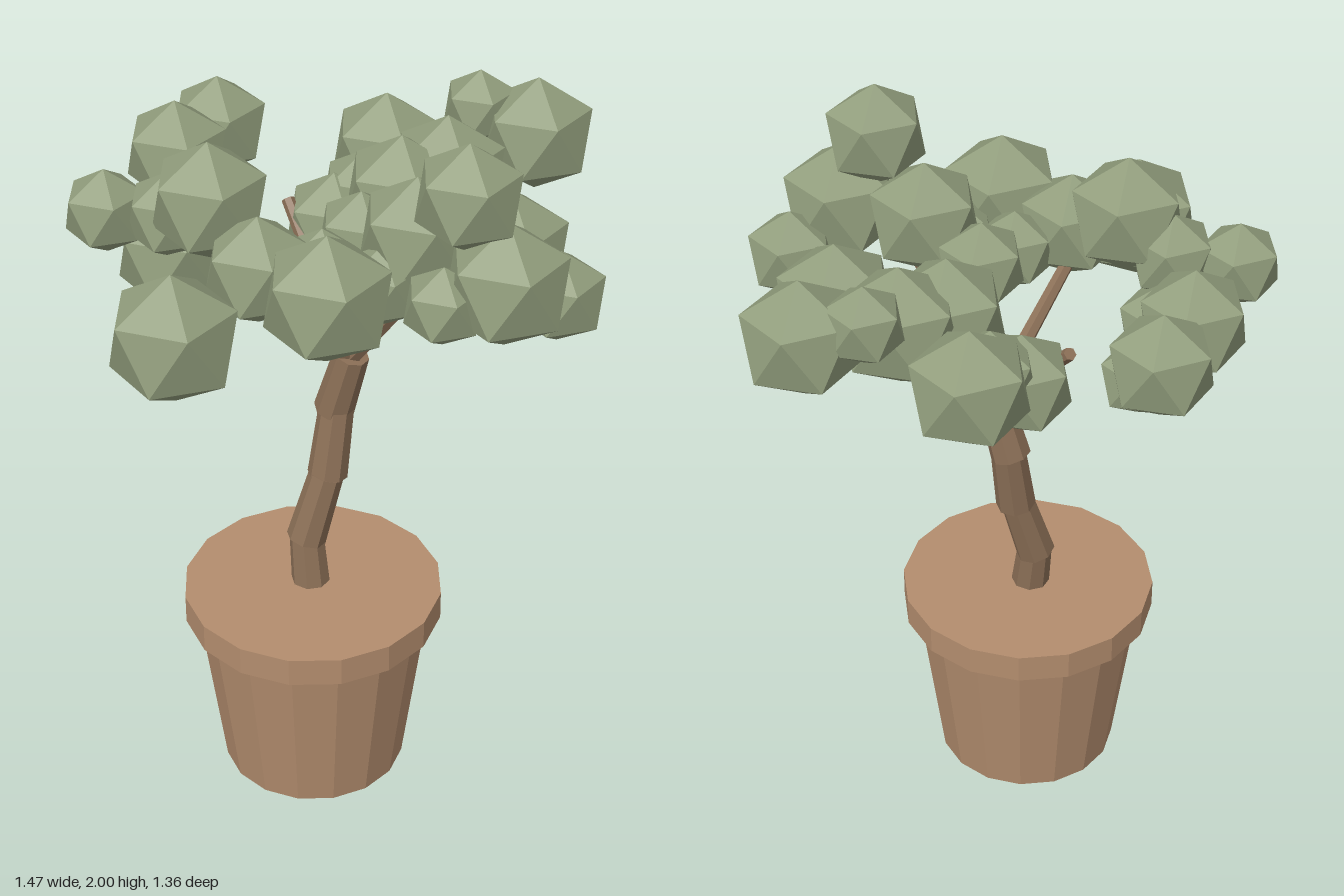
import * as THREE from 'three';

const mat = (name, color) => {
  const m = new THREE.MeshStandardMaterial({ color, flatShading: true });
  m.name = name;
  return m;
};

export function createModel() {
  const model = new THREE.Group();
  model.name = 'pottedTree';
  const clay = mat('clay', 0xb38d6e);
  const bark = mat('bark', 0x8c7057);
  const leaf = mat('leaf', 0x919d7c);

  const add = (name, geometry, material, parent = model) => {
    const mesh = new THREE.Mesh(geometry, material);
    mesh.name = name;
    parent.add(mesh);
    return mesh;
  };
  const group = (name) => {
    const g = new THREE.Group();
    g.name = name;
    model.add(g);
    return g;
  };
  // Tapered cylinder running from point a to point b
  const limb = (name, a, b, rBottom, rTop, sides, parent) => {
    const from = new THREE.Vector3(...a), to = new THREE.Vector3(...b);
    const dir = to.clone().sub(from);
    const mesh = add(name, new THREE.CylinderGeometry(rTop, rBottom, dir.length(), sides), bark, parent);
    mesh.position.copy(from).add(to).multiplyScalar(0.5);
    mesh.quaternion.setFromUnitVectors(new THREE.Vector3(0, 1, 0), dir.normalize());
  };

  // Pot: tapered body and a wide, closed rim
  const pot = group('pot');
  pot.position.set(-0.135, 0, 0.05);
  add('potBody', new THREE.CylinderGeometry(0.315, 0.25, 0.5, 16), clay, pot).position.y = 0.25;
  add('potRim', new THREE.CylinderGeometry(0.35, 0.35, 0.08, 16), clay, pot).position.y = 0.53;

  // Trunk: a crooked stack of tapered segments
  const trunk = group('trunk');
  const segments = [
    [[-0.135, 0.52, 0.045], [-0.132, 0.7, 0.018]],
    [[-0.132, 0.69, 0.015], [-0.075, 0.885, 0.03]],
    [[-0.068, 0.88, 0.025], [-0.033, 1.08, 0.018]],
    [[-0.035, 1.065, 0.008], [-0.012, 1.25, 0.056]],
  ];
  segments.forEach(([a, b]) => limb('trunkSegment', a, b, 0.054, 0.047, 8, trunk));

  // Branches fan out from the top of the trunk
  const branches = group('branches');
  const tips = [[-0.32, 1.62, 0.05], [0.28, 1.6, 0.14], [0.03, 1.56, 0.3], [0.015, 1.55, -0.27]];
  tips.forEach((tip) => limb('branch', [-0.012, 1.235, 0.05], tip, 0.024, 0.017, 6, branches));

  // Foliage: faceted clumps, each standing on a corner [x, y, z, radius]
  const foliage = group('foliage');
  const clump = new THREE.IcosahedronGeometry(1, 0);
  clump.rotateZ(Math.atan2(1, (1 + Math.sqrt(5)) / 2));
  const back = [
    [-0.01, 1.655, -0.56, 0.14], [-0.19, 1.66, -0.48, 0.145], [-0.06, 1.53, -0.43, 0.1],
    [-0.485, 1.64, -0.34, 0.115], [-0.32, 1.49, -0.295, 0.16], [-0.375, 1.65, -0.215, 0.118],
  ];
  const right = [
    [-0.335, 1.73, -0.09, 0.158], [-0.32, 1.62, 0.1, 0.145], [-0.58, 1.53, 0.125, 0.174],
    [-0.275, 1.63, 0.325, 0.17], [-0.16, 1.59, 0.14, 0.11],
  ];
  const front = [
    [-0.015, 1.62, 0.1, 0.12], [0.02, 1.69, 0.28, 0.155], [-0.09, 1.59, 0.29, 0.11],
    [0.31, 1.56, 0.28, 0.163], [0.035, 1.86, 0.455, 0.14], [-0.05, 1.61, 0.48, 0.105],
    [0.09, 1.65, 0.54, 0.165], [0.26, 1.56, 0.535, 0.123],
  ];
  const left = [
    [0.2, 1.62, -0.025, 0.16], [0.335, 1.64, -0.01, 0.163], [0.12, 1.48, -0.21, 0.14],
    [0.21, 1.54, -0.2, 0.125], [0.34, 1.6, -0.28, 0.16], [0.5, 1.75, -0.09, 0.105],
    [0.595, 1.695, 0.03, 0.158],
  ];
  [...back, ...right, ...front, ...left].forEach(([x, y, z, r]) => {
    const mesh = add('leafClump', clump, leaf, foliage);
    mesh.position.set(x, y, z);
    mesh.scale.setScalar(r);
  });

  return model;
}
